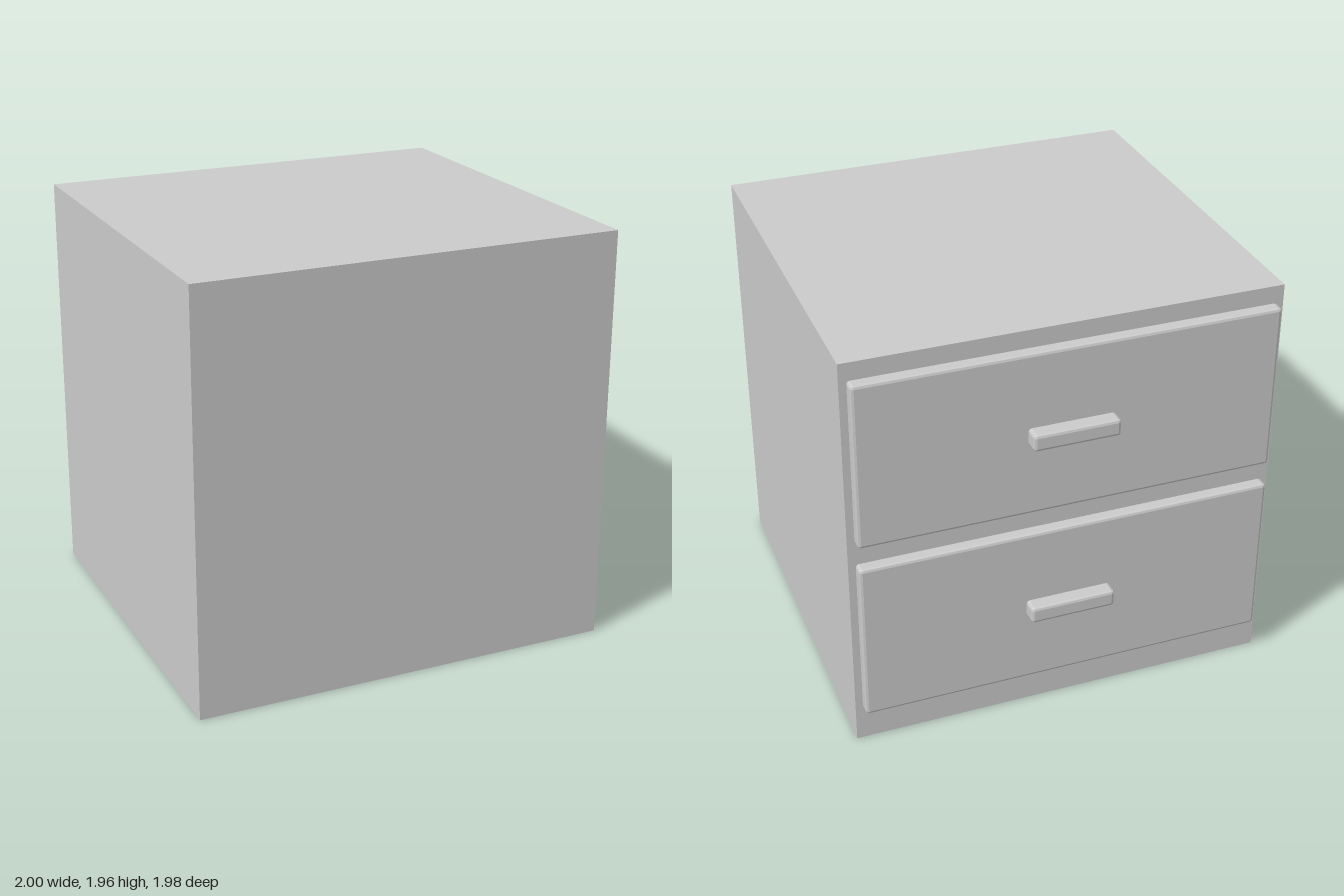
import * as THREE from 'three';
import { RoundedBoxGeometry } from 'three/addons/geometries/RoundedBoxGeometry.js';

const material = new THREE.MeshStandardMaterial({ color: 0xcccccc, flatShading: true });
const BODY_BACK = -0.865;
const DRAWER_FACE = -0.92;
const HANDLE_FACE = -0.99;
const BEVEL = 0.014;

// Bevelled slab spanning zOut to zIn; its inner bevel is sunk into the part behind
function slab(name, width, height, x, y, zOut, zIn) {
  const inner = zIn + BEVEL;
  const geometry = new RoundedBoxGeometry(width, height, inner - zOut, 1, BEVEL);
  const mesh = new THREE.Mesh(geometry, material);
  mesh.name = name;
  mesh.position.set(x, y, (zOut + inner) / 2);
  return mesh;
}

export function createModel() {
  const model = new THREE.Group();
  model.name = 'drawerCabinet';

  // Plain cabinet box
  const body = new THREE.Mesh(new THREE.BoxGeometry(2, 1.96, 1.85), material);
  body.name = 'cabinetBody';
  body.position.set(0, 0.98, BODY_BACK + 0.925);
  model.add(body);

  // Two identical drawers, each with a bar handle, on the -z side
  [['lower', 0.57], ['upper', 1.478]].forEach(([label, y]) => {
    const drawer = new THREE.Group();
    drawer.name = `${label}Drawer`;
    drawer.position.y = y;
    drawer.add(slab('drawerPanel', 1.935, 0.795, -0.002, 0, DRAWER_FACE, BODY_BACK));
    drawer.add(slab('drawerHandle', 0.4, 0.08, 0, 0, HANDLE_FACE, DRAWER_FACE));
    model.add(drawer);
  });

  return model;
}
